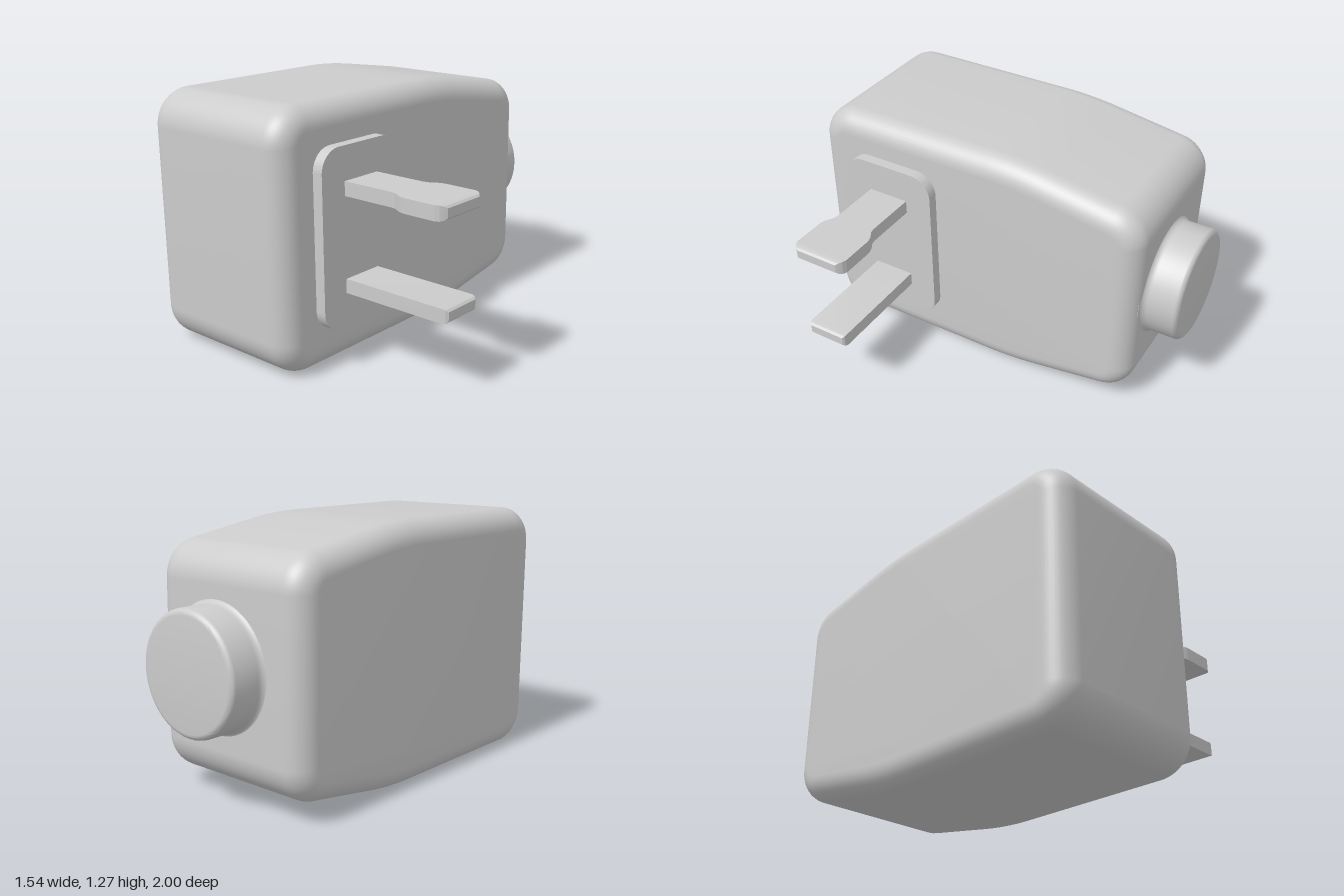
import * as THREE from 'three';
import { toCreasedNormals } from 'three/addons/utils/BufferGeometryUtils.js';

const material = new THREE.MeshStandardMaterial({ color: 0xcccccc });

function part(name, geometry, crease = 0.5) {
  const mesh = new THREE.Mesh(toCreasedNormals(geometry, crease), material);
  mesh.name = name;
  return mesh;
}

// Housing: side profile (u = -z, v = y) extruded across x with a rounded bevel
function housing() {
  const r = 0.07, bevel = 0.11, midY = 0.635;
  const half = new THREE.Path();
  half.absarc(-0.82, 1.09, r, Math.PI, Math.PI / 2, true);
  half.lineTo(0, 1.16);
  half.quadraticCurveTo(0.13, 1.16, 0.27, 1.138);
  half.absarc(0.64, 1.0075, r, 1.412, 0, true);
  const upper = half.getPoints(10);
  const lower = upper.map(p => new THREE.Vector2(p.x, 2 * midY - p.y)).reverse();
  const geo = new THREE.ExtrudeGeometry(new THREE.Shape([...upper, ...lower]), {
    depth: 0.68, bevelEnabled: true, bevelSize: bevel, bevelThickness: bevel, bevelSegments: 10,
  });
  geo.rotateY(Math.PI / 2).translate(-0.66, 0, 0);
  return part('housing', geo);
}

// Round cable collar at the back, with a flared foot and a softened rim
function collar() {
  const R = 0.29, foot = 0.035, rim = 0.03, len = 0.185;
  const pts = [new THREE.Vector2(R + foot, -0.03)];
  for (let i = 0; i <= 6; i++) {
    const a = (i / 6) * Math.PI / 2;
    pts.push(new THREE.Vector2(R + foot * (1 - Math.sin(a)), foot * (1 - Math.cos(a))));
  }
  for (let i = 0; i <= 6; i++) {
    const a = (i / 6) * Math.PI / 2;
    pts.push(new THREE.Vector2(R - rim + rim * Math.cos(a), len - rim + rim * Math.sin(a)));
  }
  pts.push(new THREE.Vector2(0, len));
  const geo = new THREE.LatheGeometry(pts, 64);
  geo.rotateX(-Math.PI / 2).translate(-0.267, 0.64, -0.815);
  return part('cableCollar', geo);
}

// Rounded plate that carries the prongs
function plate() {
  const w = 0.255, h = 0.4375, r = 0.11, q = Math.PI / 2;
  const shape = new THREE.Shape();
  [[1, 1], [-1, 1], [-1, -1], [1, -1]].forEach(([sx, sy], i) =>
    shape.absarc(sx * (w - r), sy * (h - r), r, i * q, (i + 1) * q, false));
  const geo = new THREE.ExtrudeGeometry(shape, { depth: 0.085, bevelEnabled: false, curveSegments: 10 });
  geo.rotateY(Math.PI / 2).translate(0.1, 0.6375, 0.545);
  return part('prongPlate', geo);
}

// Prong: box reshaped by stations of [x, half width in z, half thickness in y]
function prong(name, y, stations) {
  const n = stations.length - 1;
  const geo = new THREE.BoxGeometry(1, 1, 1, n, 1, 1);
  const pos = geo.attributes.position;
  for (let i = 0; i < pos.count; i++) {
    const [x, hw, ht] = stations[Math.round((pos.getX(i) + 0.5) * n)];
    pos.setXYZ(i, x, y + Math.sign(pos.getY(i)) * ht, 0.545 + Math.sign(pos.getZ(i)) * hw);
  }
  return part(name, geo, 0.3);
}

export function createModel() {
  const group = new THREE.Group();
  group.name = 'powerPlug';
  group.add(
    housing(),
    collar(),
    plate(),
    prong('wideProng', 0.875, [
      [0.15, 0.11, 0.035], [0.46, 0.11, 0.035], [0.485, 0.114, 0.035], [0.52, 0.135, 0.035],
      [0.545, 0.144, 0.035], [0.57, 0.146, 0.035], [0.725, 0.146, 0.035], [0.745, 0.138, 0.035],
      [0.76, 0.125, 0.031], [0.77, 0.112, 0.022],
    ]),
    prong('straightProng', 0.405, [
      [0.15, 0.11, 0.035], [0.745, 0.11, 0.035], [0.76, 0.106, 0.031], [0.77, 0.097, 0.022],
    ]),
  );
  return group;
}
